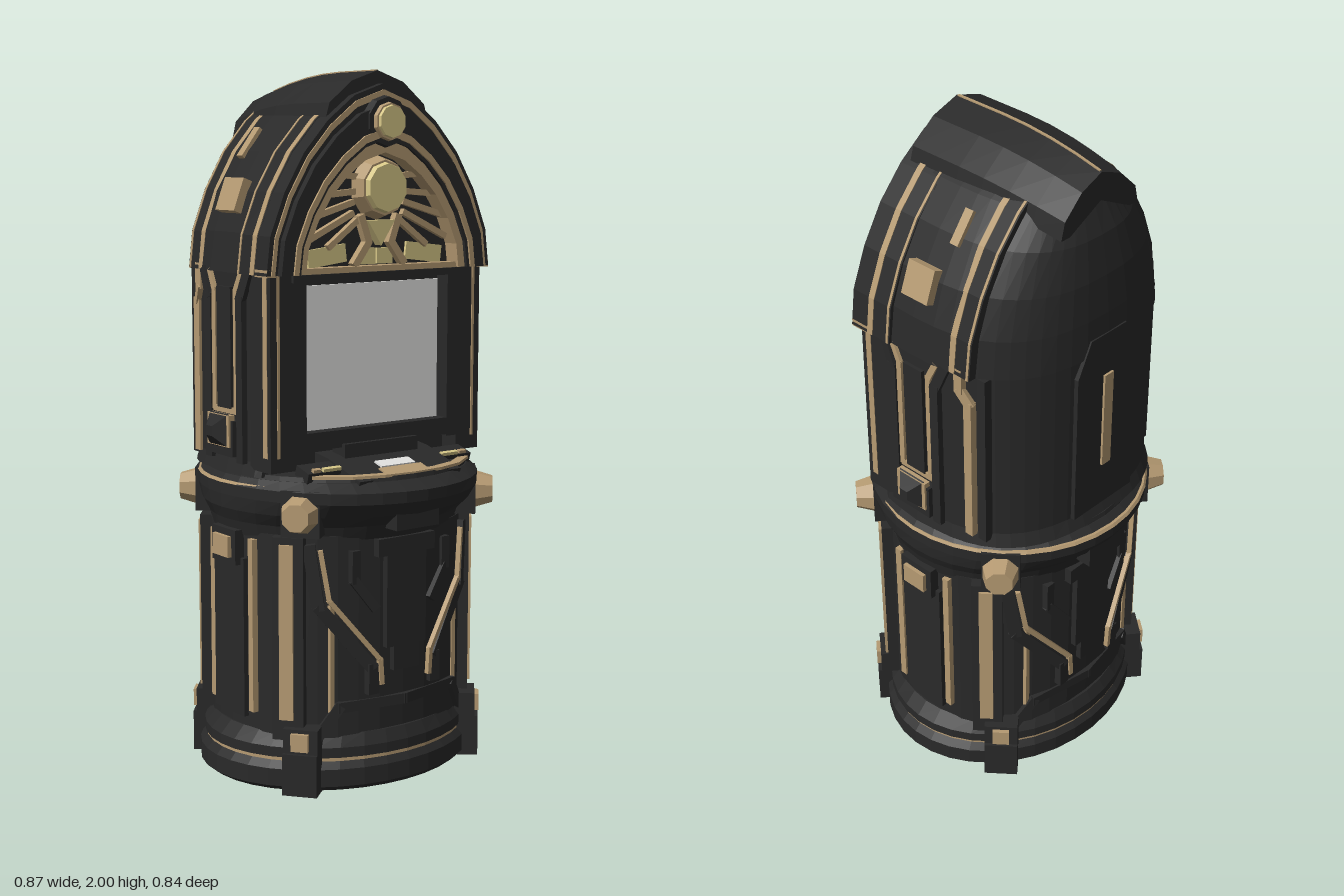
import * as THREE from 'three';

const paint = (name, color) => {
  const m = new THREE.MeshStandardMaterial({ color });
  m.name = name;
  return m;
};

export function createModel() {
  const black = paint('black', 0x292929);
  const gold = paint('antique gold', 0xb59a72);
  const yellow = paint('yellow glass', 0xd8c888);
  const silver = paint('silver screen', 0xe4e4e2);
  const root = new THREE.Group();
  const CZ = -0.015;

  const add = (name, geo, mat, x = 0, y = 0, z = 0, ry = 0, rx = 0, rz = 0) => {
    const m = new THREE.Mesh(geo, mat);
    m.name = name;
    m.position.set(x, y, z);
    m.rotation.set(rx, ry, rz, 'YXZ');
    root.add(m);
    return m;
  };
  const box = (name, mat, w, h, d, ...place) => add(name, new THREE.BoxGeometry(w, h, d), mat, ...place);
  const outline = (pts) => new THREE.Shape(pts.map((p) => new THREE.Vector2(...p)));
  const slab = (pts, depth) => new THREE.ExtrudeGeometry(outline(pts), { depth, bevelEnabled: false });
  // Faceted knob facing +z
  const stud = (front, back, depth, sides, start = 0) => {
    const g = new THREE.CylinderGeometry(front, back, depth, sides, 1, false, start).toNonIndexed().rotateX(Math.PI / 2);
    g.computeVertexNormals();
    return g;
  };

  // Stacked superellipse rings [y, halfWidth, front, back], cut flat at zMax, faceted
  const loft = (name, mat, levels, n = 2, zMax = 9, sides = 36) => {
    const rings = levels.map(([y, a, f, b]) => Array.from({ length: sides }, (_, i) => {
      const t = (i / sides) * Math.PI * 2, c = Math.cos(t), s = Math.sin(t);
      const z = CZ + (s > 0 ? f : -b) * Math.abs(s) ** (2 / n);
      return [a * Math.sign(c) * Math.abs(c) ** (2 / n), y, Math.min(z, zMax)];
    }));
    const v = [], last = rings.length - 1;
    const lo = [0, levels[0][0], CZ], hi = [0, levels[last][0], CZ];
    for (let i = 0; i < sides; i++) {
      const j = (i + 1) % sides;
      for (let k = 0; k < last; k++) {
        const p = rings[k], q = rings[k + 1];
        v.push(...p[i], ...q[i], ...p[j], ...p[j], ...q[i], ...q[j]);
      }
      v.push(...lo, ...rings[0][i], ...rings[0][j], ...hi, ...rings[last][j], ...rings[last][i]);
    }
    const g = new THREE.BufferGeometry();
    g.setAttribute('position', new THREE.Float32BufferAttribute(v, 3));
    g.computeVertexNormals();
    add(name, g, mat);
  };

  // Square bars following a list of points
  const bars = (name, mat, pts, w) => {
    for (let i = 0; i + 1 < pts.length; i++) {
      const a = new THREE.Vector3(...pts[i]), b = new THREE.Vector3(...pts[i + 1]);
      const m = box(name, mat, w, w, a.distanceTo(b) + w * 0.5);
      m.position.copy(a).add(b).multiplyScalar(0.5);
      m.lookAt(b);
    }
  };

  // Base and lower body
  const LN = 2.3;
  loft('base', black, [[0, 0.405, 0.34, 0.34], [0.015, 0.425, 0.355, 0.355], [0.065, 0.425, 0.355, 0.355], [0.085, 0.405, 0.34, 0.34]]);
  loft('baseTrim', gold, [[0.085, 0.405, 0.343, 0.343], [0.096, 0.405, 0.343, 0.343]]);
  loft('plinth', black, [[0.096, 0.41, 0.347, 0.347], [0.125, 0.41, 0.347, 0.347], [0.16, 0.375, 0.33, 0.33]]);
  loft('lowerBody', black, [[0.15, 0.37, 0.322, 0.322], [0.73, 0.37, 0.322, 0.322]], LN);

  // Belt around the waist
  loft('belt', black, [[0.715, 0.375, 0.33, 0.33], [0.755, 0.385, 0.345, 0.345], [0.79, 0.4, 0.39, 0.38],
    [0.83, 0.404, 0.428, 0.405], [0.862, 0.404, 0.43, 0.405], [0.885, 0.385, 0.385, 0.375]]);
  loft('beltRearTrim', gold, [[0.862, 0.404, 0.41, 0.409], [0.87, 0.4, 0.4, 0.403]]);
  loft('beltTop', black, [[0.88, 0.385, 0.38, 0.375], [0.898, 0.38, 0.375, 0.37]]);

  // Corner posts, feet and knobs at the four diagonals
  for (const sx of [1, -1]) for (const sz of [1, -1]) {
    const ry = Math.atan2(sx * 0.77, sz * 0.64);
    const put = (name, mat, w, h, d, r, y) => box(name, mat, w, h, d, Math.sin(ry) * r, y, CZ + Math.cos(ry) * r, ry);
    const post = (name, mat, w, h, d, r, y) => box(name, mat, w, h, d, sx * 0.836 * r, y, CZ + sz * 0.549 * r, ry);
    post('cornerPost', black, 0.09, 0.58, 0.06, 0.365, 0.44);
    post('cornerPostStrip', gold, 0.04, 0.5, 0.02, 0.393, 0.46);
    put('foot', black, 0.1, 0.12, 0.08, 0.385, 0.06);
    put('footBracket', black, 0.1, 0.09, 0.06, 0.385, 0.145);
    put('footJewel', gold, 0.05, 0.05, 0.025, 0.415, 0.155);
    put('knobMount', black, 0.11, 0.13, 0.06, 0.38, 0.8);
    add('cornerKnob', stud(0.04, 0.058, 0.06, 8, Math.PI / 8), gold, Math.sin(ry) * 0.43, 0.8, CZ + Math.cos(ry) * 0.43, ry);
  }

  // Front and back relief of the lower body
  for (const sz of [1, -1]) {
    const on = (x, y, out = 0) => [x, y, CZ + sz * (0.322 * (1 - (Math.abs(x) / 0.37) ** LN) ** (1 / LN) + out)];
    const ry = sz > 0 ? 0 : Math.PI;
    box('centrePlate', black, 0.14, 0.3, 0.03, 0, 0.55, CZ + sz * 0.322, ry);
    box('centrePlateLower', black, 0.09, 0.1, 0.03, 0, 0.38, CZ + sz * 0.322, ry);
    box('centrePlateTop', black, 0.2, 0.05, 0.04, 0, 0.69, CZ + sz * 0.318, ry);
    box('ventBox', black, 0.15, 0.09, 0.05, 0, 0.79, CZ + sz * 0.36, ry);
    bars('kickTrim', black, [on(-0.25, 0.16), on(-0.2, 0.24), on(0, 0.24), on(0.2, 0.24), on(0.25, 0.16)], 0.03);
    for (const sx of [1, -1]) {
      bars('vFrame', black, [on(sx * 0.27, 0.7), on(sx * 0.25, 0.53), on(sx * 0.11, 0.35), on(sx * 0.11, 0.28)], 0.036);
      bars('vTrim', gold, [on(sx * 0.252, 0.69, 0.015), on(sx * 0.232, 0.55, 0.015), on(sx * 0.09, 0.37, 0.014), on(sx * 0.085, 0.3, 0.014)], 0.014);
      bars('sideTrim', gold, [on(sx * 0.22, 0.22), on(sx * 0.22, 0.53)], 0.014);
      bars('innerFrame', black, [on(sx * 0.16, 0.68), on(sx * 0.16, 0.6), on(sx * 0.1, 0.52)], 0.028);
    }
  }

  // Console shelf with its curved trim, tray and buttons
  const shelfGeo = slab([[0.08, 0.86], [0.33, 0.86], [0.34, 0.89], [0.19, 0.935], [0.08, 0.95]], 0.36).rotateY(-Math.PI / 2);
  add('consoleShelf', shelfGeo, black, 0.18);
  const arcOuter = [[-0.28, 0.255], [-0.19, 0.322], [-0.1, 0.35], [0, 0.358], [0.1, 0.35], [0.19, 0.322], [0.28, 0.255]];
  const arcInner = [[0.265, 0.235], [0.18, 0.295], [0.09, 0.322], [0, 0.328], [-0.09, 0.322], [-0.18, 0.295], [-0.265, 0.235]];
  add('consoleArcTrim', slab([...arcOuter, ...arcInner], 0.008).rotateX(Math.PI / 2), gold, 0, 0.903);
  const tilt = 0.29;
  box('consolePlate', silver, 0.12, 0.008, 0.036, 0, 0.914, 0.265, 0, tilt);
  box('consoleTray', gold, 0.15, 0.008, 0.045, 0, 0.9, 0.308, 0, tilt);
  box('consoleHood', black, 0.26, 0.06, 0.06, 0, 0.94, 0.175);
  for (const sx of [1, -1]) {
    box('consoleButtonBase', black, 0.14, 0.04, 0.06, sx * 0.22, 0.9, 0.22, 0, tilt);
    box('consoleButton', yellow, 0.06, 0.024, 0.012, sx * 0.21, 0.91, 0.248, 0, tilt);
    box('consoleButtonTrim', gold, 0.025, 0.024, 0.012, sx * 0.26, 0.91, 0.246, 0, tilt);
  }

  // Upper body and hood
  const N = 2.6, A = 0.375, B = 0.355;
  loft('upperBody', black, [[0.89, 0.385, 0.36, 0.37], [0.93, A, B, B], [1.46, A, B, B]], N, 0.13, 48);
  loft('hood', black, [[1.45, 0.385, 0.36, 0.36], [1.56, 0.37, 0.36, 0.355], [1.67, 0.33, 0.36, 0.345],
    [1.78, 0.265, 0.36, 0.325], [1.87, 0.185, 0.36, 0.29], [1.93, 0.1, 0.36, 0.25], [1.96, 0.02, 0.36, 0.2]], N, 0.14, 48);

  // Pointed arch outline, scaled about the foot of the arch
  const arch = [[0.395, 1.45], [0.382, 1.56], [0.335, 1.68], [0.27, 1.79], [0.19, 1.88], [0.1, 1.95], [0, 1.985]];
  const archPts = (sx, sy) => [...arch, ...arch.slice(0, -1).reverse().map(([x, y]) => [-x, y])]
    .map(([x, y]) => [x * sx, 1.45 + (y - 1.45) * sy]);
  const archBand = (name, mat, [ox, oy], [ix, iy], z0, z1) =>
    add(name, slab([...archPts(ox, oy), ...archPts(ix, iy).reverse()], z1 - z0), mat, 0, 0, z0);
  archBand('archRim', black, [0.99, 0.96], [0.88, 0.85], 0.1, 0.205);
  archBand('archRimTrim', gold, [0.955, 0.93], [0.925, 0.895], 0.19, 0.209);
  archBand('archInnerRim', black, [0.9, 0.86], [0.74, 0.68], 0.1, 0.225);
  archBand('archInnerTrim', gold, [0.805, 0.74], [0.765, 0.7], 0.19, 0.231);
  archBand('fanFrame', gold, [0.75, 0.69], [0.68, 0.61], 0.12, 0.215);

  // Ribs over the hood, edged on both sides
  for (const [z0, z1, k] of [[0.06, 0.15, 0.99], [-0.22, -0.14, 0.94]]) {
    archBand('hoodRib', black, [k, 0.965], [k - 0.08, 0.88], z0, z1);
    archBand('hoodRibTrim', gold, [k + 0.005, 0.969], [k - 0.08, 0.88], z1 - 0.026, z1 - 0.006);
    archBand('hoodRibTrim', gold, [k + 0.005, 0.969], [k - 0.08, 0.88], z0 + 0.004, z0 + 0.012);
  }

  // Ridge cap, narrowing and dropping to the back
  const capPts = [[0, 2], [-0.09, 1.97], [-0.165, 1.91], [-0.18, 1.86], [-0.14, 1.86], [0, 1.92],
    [0.14, 1.86], [0.18, 1.86], [0.165, 1.91], [0.09, 1.97]];
  const bendCap = (g) => {
    const p = g.attributes.position;
    for (let i = 0; i < p.count; i++) {
      const t = Math.max(0, (0.02 - p.getZ(i)) / 0.35);
      p.setX(i, p.getX(i) * (1 - 0.18 * t * t));
      p.setY(i, p.getY(i) - 0.045 * t * t);
    }
    g.computeVertexNormals();
    return g;
  };
  const cap = new THREE.ExtrudeGeometry(outline(capPts), { depth: 0.51, steps: 6, bevelEnabled: false }).translate(0, 0, -0.33);
  add('ridgeCap', bendCap(cap), black);
  add('ridgeLine', bendCap(new THREE.BoxGeometry(0.008, 0.01, 0.5, 1, 1, 6).translate(0, 1.997, -0.075)), gold);

  // Fan window with jewels
  add('fanBack', new THREE.ShapeGeometry(outline(archPts(0.7, 0.63))), black, 0, 0, 0.165);
  const jewel = (name, mat, r, d, y, z) => add(name, stud(r * 0.85, r, d, 10), mat, 0, y, z);
  jewel('fanJewelRing', gold, 0.09, 0.04, 1.68, 0.195);
  jewel('fanJewel', yellow, 0.078, 0.04, 1.68, 0.21);
  jewel('crownMount', black, 0.08, 0.06, 1.86, 0.2);
  jewel('crownRing', gold, 0.06, 0.04, 1.86, 0.222);
  jewel('crownJewel', yellow, 0.052, 0.035, 1.86, 0.233);
  add('fanDrop', slab([[-0.048, 1.59], [0, 1.52], [0.048, 1.59]], 0.03), yellow, 0, 0, 0.17);
  for (const sx of [1, -1]) {
    for (const [x0, y0, x1, y1] of [[0.07, 1.71, 0.16, 1.72], [0.08, 1.67, 0.2, 1.66], [0.09, 1.64, 0.23, 1.6], [0.09, 1.61, 0.24, 1.54], [0.06, 1.6, 0.17, 1.52]])
      bars('fanSpoke', gold, [[sx * x0, y0, 0.18], [sx * x1, y1, 0.18]], 0.017);
    bars('fanStem', gold, [[sx * 0.065, 1.6, 0.185], [sx * 0.04, 1.53, 0.185], [sx * 0.085, 1.47, 0.185]], 0.022);
    box('fanGlass', yellow, 0.13, 0.05, 0.008, sx * 0.17, 1.495, 0.172, 0, 0, -sx * 0.12);
    box('fanGlassSmall', yellow, 0.055, 0.045, 0.008, sx * 0.03, 1.49, 0.172);
  }
  box('fanSill', gold, 0.54, 0.016, 0.07, 0, 1.457, 0.17);
  box('fanSillEdge', black, 0.6, 0.02, 0.1, 0, 1.438, 0.15);

  // Screen and its surround
  box('screen', silver, 0.495, 0.405, 0.008, -0.004, 1.212, 0.148);
  box('screenBack', black, 0.56, 0.5, 0.02, 0, 1.2, 0.132);
  box('screenSill', black, 0.56, 0.05, 0.07, 0, 0.985, 0.155);
  for (const sx of [1, -1]) {
    box('screenJamb', black, 0.035, 0.49, 0.07, sx * 0.268, 1.2, 0.155);
    box('frontPillar', black, 0.085, 0.54, 0.1, sx * 0.328, 1.18, 0.14);
    box('pillarTrim', gold, 0.008, 0.5, 0.012, sx * 0.345, 1.2, 0.187);
    box('pillarEdge', gold, 0.012, 0.5, 0.02, sx * 0.366, 1.2, 0.165);
    box('archFoot', gold, 0.03, 0.02, 0.06, sx * 0.375, 1.456, 0.175);

    // Side relief on the upper body
    const on = (z, y) => [sx * A * (1 - Math.abs((z - CZ) / B) ** N) ** (1 / N), y, z];
    const quarter = sx * Math.PI / 2;
    box('sidePanel', black, 0.07, 0.34, 0.02, sx * 0.375, 1.24, -0.02, quarter);
    bars('sideFrame', black, [on(0.06, 0.93), on(0.06, 1.38), on(0.09, 1.45)], 0.03);
    bars('sideFrame', black, [on(-0.1, 0.93), on(-0.1, 1.38), on(-0.13, 1.45)], 0.03);
    bars('sideFrameTrim', gold, [on(0.06, 1.45), on(0.035, 1.4), on(0.035, 1.065), on(-0.075, 1.065), on(-0.075, 1.4), on(-0.1, 1.45)], 0.018);
    bars('rearFrameTrim', gold, [on(-0.2, 0.93), on(-0.2, 1.36), on(-0.175, 1.4), on(-0.175, 1.46)], 0.028);
    bars('rearSeam', black, [on(-0.235, 0.92), on(-0.235, 1.44)], 0.03);
    box('sideKnobMount', black, 0.13, 0.1, 0.05, sx * 0.375, 0.99, -0.02, quarter);
    box('sideKnobPlate', gold, 0.11, 0.09, 0.02, sx * 0.396, 1.01, -0.02, quarter);
    add('sideKnob', stud(0.02, 0.068, 0.035, 4, Math.PI / 4), black, sx * 0.418, 1.01, -0.02, quarter);
    box('hoodPlate', gold, 0.095, 0.095, 0.05, sx * 0.334, 1.655, -0.025, quarter, -0.36);
    box('hoodSlat', gold, 0.1, 0.012, 0.028, sx * 0.25, 1.803, -0.085, 0, 0, -sx * 0.92);

    // Side relief on the lower body
    box('lowerSidePanel', black, 0.15, 0.46, 0.02, sx * 0.368, 0.42, CZ, quarter);
    box('lowerSideBadgeMount', black, 0.12, 0.1, 0.04, sx * 0.375, 0.68, CZ, quarter);
    box('lowerSideBadge', gold, 0.08, 0.06, 0.03, sx * 0.392, 0.68, CZ, quarter);
    for (const z of [0.085, -0.11]) box('lowerSideStrip', gold, 0.022, 0.5, 0.02, sx * 0.362, 0.46, z, quarter);
  }

  // Back panel with its centre strip
  add('backPanel', slab([[-0.12, 0.93], [0.12, 0.93], [0.12, 1.4], [0.07, 1.5], [-0.07, 1.5], [-0.12, 1.4]], 0.04), black, 0, 0, -0.376);
  box('backStrip', gold, 0.035, 0.3, 0.012, 0, 1.22, -0.377);
  return root;
}
